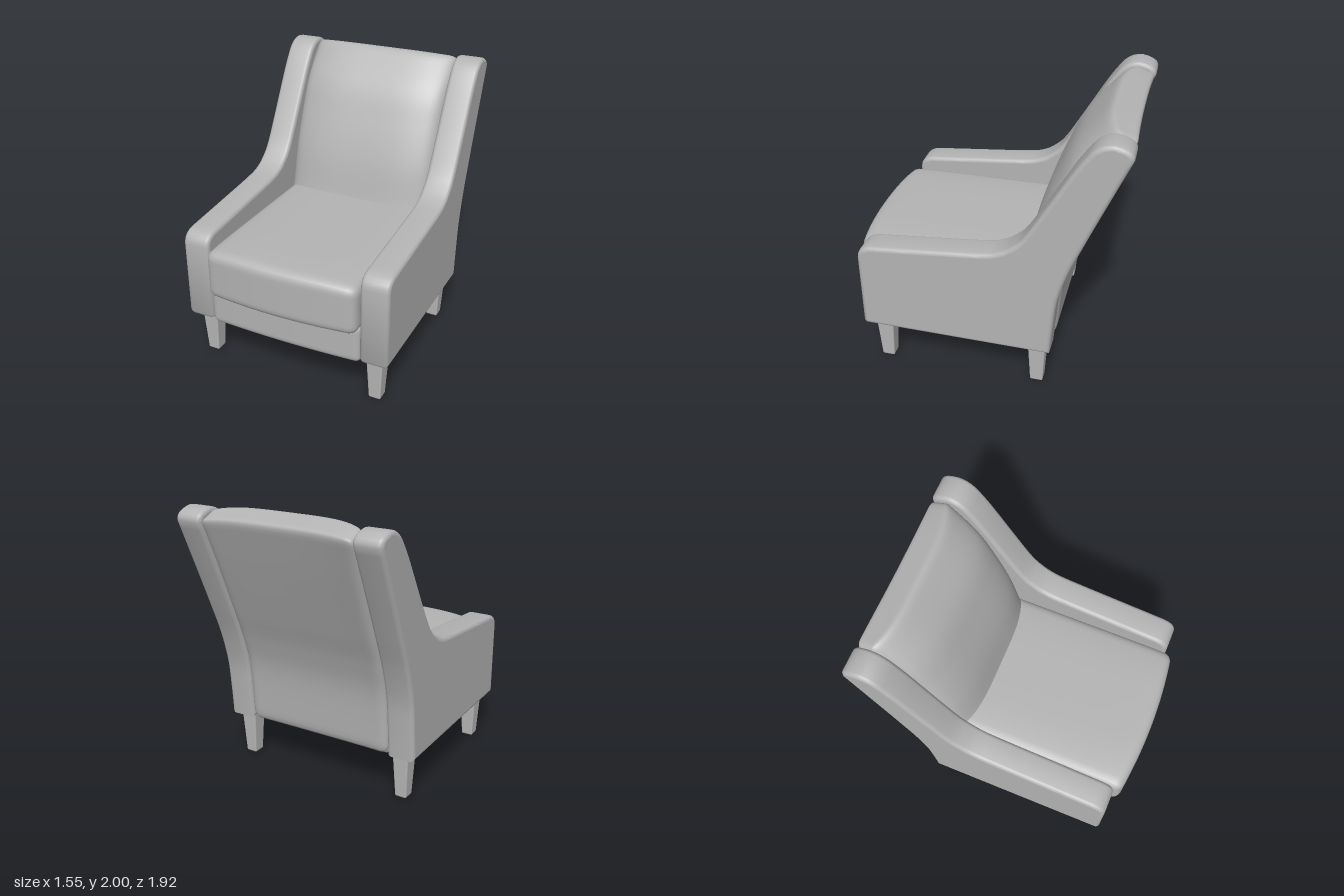
import * as THREE from 'three';
import { mergeVertices, toCreasedNormals } from 'three/addons/utils/BufferGeometryUtils.js';
import { RoundedBoxGeometry } from 'three/addons/geometries/RoundedBoxGeometry.js';

const fabric = new THREE.MeshStandardMaterial({ color: 0xb4b4b4 });
fabric.name = 'grey fabric';

const curve = (pts) => new THREE.SplineCurve(pts.map(([z, y]) => new THREE.Vector2(z, y)));

// Finely divided rounded box; shape(a, b, c, out) places each point, a/b/c in -1..1
function cushion(name, size, r, segs, shape) {
  let geo = new THREE.BoxGeometry(...size, ...segs);
  geo.deleteAttribute('uv');
  geo.deleteAttribute('normal');
  geo = mergeVertices(geo);
  const half = new THREE.Vector3(...size).multiplyScalar(0.5);
  const inner = half.clone().subScalar(r);
  const pos = geo.attributes.position;
  const p = new THREE.Vector3(), q = new THREE.Vector3();
  for (let i = 0; i < pos.count; i++) {
    p.fromBufferAttribute(pos, i);
    q.copy(p).clamp(inner.clone().negate(), inner);
    p.sub(q).setLength(r).add(q).divide(half);
    shape(p.x, p.y, p.z, q);
    pos.setXYZ(i, q.x, q.y, q.z);
  }
  geo.computeVertexNormals();
  const mesh = new THREE.Mesh(geo, fabric);
  mesh.name = name;
  return mesh;
}

// Side panel: one outline for arm and wing, with softly bevelled edges
function armGeometry() {
  const v = (z, y) => new THREE.Vector2(z, y);
  const s = new THREE.Shape();
  s.moveTo(-0.495, 0.335);
  s.lineTo(0.855, 0.345);
  s.lineTo(0.87, 0.37);
  s.lineTo(0.87, 0.92);
  s.quadraticCurveTo(0.865, 1.0, 0.77, 1.015);
  s.splineThru([v(0.4, 1.05), v(0, 1.09), v(-0.13, 1.12), v(-0.22, 1.175), v(-0.3, 1.26),
    v(-0.42, 1.46), v(-0.6, 1.775), v(-0.69, 1.91)]);
  s.quadraticCurveTo(-0.75, 1.99, -0.84, 1.99);
  s.quadraticCurveTo(-0.97, 1.97, -0.96, 1.9);
  s.splineThru([v(-0.78, 1.47), v(-0.69, 1.25), v(-0.6, 1.02), v(-0.535, 0.78), v(-0.51, 0.55), v(-0.495, 0.335)]);
  const bevel = 0.03, width = 0.204;
  let geo = new THREE.ExtrudeGeometry(s, {
    depth: width - 2 * bevel, curveSegments: 5, bevelSize: bevel, bevelOffset: -bevel,
    bevelThickness: bevel, bevelSegments: 4,
  });
  geo.translate(0, 0, bevel - width / 2);
  geo.rotateY(-Math.PI / 2);
  geo = toCreasedNormals(geo, 0.7);
  // Keep the broad side faces flat
  const pos = geo.attributes.position, nor = geo.attributes.normal;
  const t = [0, 1, 2].map(() => new THREE.Vector3());
  const n = new THREE.Vector3();
  for (let i = 0; i < pos.count; i += 3) {
    t.forEach((c, k) => c.fromBufferAttribute(pos, i + k));
    THREE.Triangle.getNormal(...t, n);
    if (Math.abs(n.x) > 0.999) for (let k = 0; k < 3; k++) nor.setXYZ(i + k, n.x, n.y, n.z);
  }
  return geo;
}

// Square leg, narrower at the foot
function legGeometry() {
  const geo = new RoundedBoxGeometry(0.124, 0.37, 0.13, 2, 0.014);
  geo.translate(0, 0.185, 0);
  const pos = geo.attributes.position;
  for (let i = 0; i < pos.count; i++) {
    const k = 0.7 + 0.3 * Math.min(1, pos.getY(i) / 0.34);
    pos.setX(i, pos.getX(i) * k);
    pos.setZ(i, pos.getZ(i) * k);
  }
  return geo;
}

export function createModel() {
  const chair = new THREE.Group();
  chair.name = 'armchair';

  // Arms and legs, mirrored
  const arm = armGeometry(), leg = legGeometry();
  for (const [side, sx] of [['left', 1], ['right', -1]]) {
    const panel = new THREE.Mesh(arm, fabric);
    panel.name = side + 'Arm';
    panel.position.x = sx * 0.674;
    chair.add(panel);
    for (const [end, z] of [['Front', 0.735], ['Back', -0.395]]) {
      const m = new THREE.Mesh(leg, fabric);
      m.name = side + end + 'Leg';
      m.position.set(sx * 0.653, 0.005, z);
      chair.add(m);
    }
  }

  // Leaning backrest between a front and a back curve
  const front = curve([[-0.2, 0.36], [-0.2, 0.75], [-0.25, 0.98], [-0.315, 1.25], [-0.42, 1.53], [-0.54, 1.77], [-0.75, 2.01]]);
  const back = curve([[-0.5, 0.335], [-0.535, 0.75], [-0.6, 1.0], [-0.69, 1.23], [-0.78, 1.46], [-0.865, 1.68], [-0.965, 1.95]]);
  chair.add(cushion('backrest', [1.14, 1.65, 0.35], 0.06, [40, 56, 14], (a, b, c, out) => {
    const t = (b + 1) / 2, w = (c + 1) / 2, edge = a ** 4;
    const p = back.getPoint(t).lerp(front.getPoint(t), w);
    out.set(a * 0.572, p.y - 0.03 * edge * t ** 6, p.x - 0.09 * edge * w + 0.012 * (1 - a * a) * (1 - w) * t);
  }));

  // Seat cushion, domed and bowed at the front
  chair.add(cushion('seatCushion', [1.14, 0.38, 1.38], 0.06, [40, 16, 48], (a, b, c, out) => {
    const edge = a ** 4;
    const top = 0.953 - 0.025 * edge - 0.015 * Math.max(0, c) ** 6;
    out.set(a * 0.568, 0.57 + (top - 0.57) * (b + 1) / 2, 0.275 + 0.69 * c - 0.045 * a * a * Math.max(0, c));
  }));

  // Base under the seat
  chair.add(cushion('seatBase', [1.14, 0.28, 1.36], 0.035, [48, 16, 56], (a, b, c, out) => {
    out.set(a * 0.575, 0.47 + 0.14 * b, 0.205 + 0.683 * c - 0.02 * a * a * Math.max(0, c));
  }));
  return chair;
}
